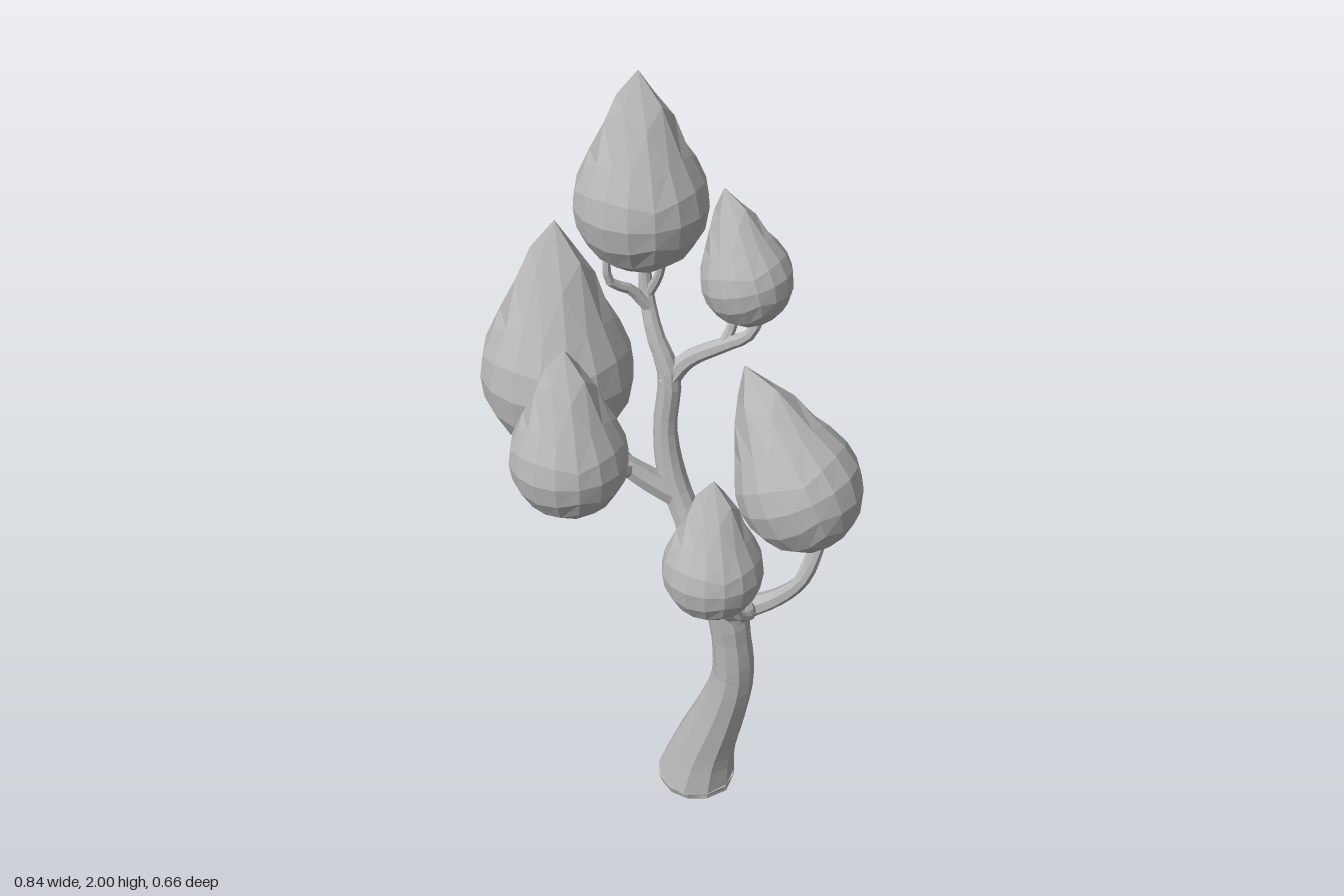
import * as THREE from 'three';

const grey = new THREE.MeshStandardMaterial({ color: 0xb8b8b8, flatShading: true });
grey.name = 'plain grey';

// Tapered limb through points given as [x, y, z, radius]
function limb(name, points, sides = 7, perSpan = 3) {
  const curve = new THREE.CatmullRomCurve3(points.map(p => new THREE.Vector3(p[0], p[1], p[2])));
  const spans = points.length - 1;
  const rings = spans * perSpan;
  const geo = new THREE.TubeGeometry(curve, rings, 1, sides);
  const pos = geo.attributes.position;
  const v = new THREE.Vector3();
  for (let i = 0; i <= rings; i++) {
    const u = i / rings;
    const centre = curve.getPointAt(u);
    const t = curve.getUtoTmapping(u) * spans;
    const k = Math.min(Math.floor(t), spans - 1);
    const radius = THREE.MathUtils.lerp(points[k][3], points[k + 1][3], t - k);
    for (let j = 0; j <= sides; j++) {
      const n = i * (sides + 1) + j;
      v.fromBufferAttribute(pos, n).sub(centre).multiplyScalar(radius).add(centre);
      pos.setXYZ(n, v.x, v.y, v.z);
    }
  }
  geo.computeVertexNormals();
  const mesh = new THREE.Mesh(geo, grey);
  mesh.name = name;
  return mesh;
}

// Faceted teardrop: a rounded cube grid drawn up to a point, standing from base to tip
function leafClump(name, base, tip, radius) {
  const geo = new THREE.BoxGeometry(2, 2, 2, 4, 4, 4);
  const pos = geo.attributes.position;
  const from = new THREE.Vector3(...base);
  const axis = new THREE.Vector3(...tip).sub(from);
  const height = axis.length();
  const even = c => Math.tan(c * Math.PI / 4);
  const v = new THREE.Vector3();
  for (let i = 0; i < pos.count; i++) {
    v.set(even(pos.getX(i)), even(pos.getY(i)), even(pos.getZ(i))).normalize();
    const rise = v.y > 0 ? 0.34 + 0.33 * v.y + 0.33 * v.y ** 6 : 0.34 + 0.34 * v.y;
    pos.setXYZ(i, v.x * radius, rise * height, v.z * radius);
  }
  geo.rotateY(0.72);
  geo.computeVertexNormals();
  const mesh = new THREE.Mesh(geo, grey);
  mesh.name = name;
  mesh.position.copy(from);
  mesh.quaternion.setFromUnitVectors(new THREE.Vector3(0, 1, 0), axis.normalize());
  return mesh;
}

export function createModel() {
  const tree = new THREE.Group();
  tree.name = 'tree';

  // Root foot, closed underneath
  const foot = new THREE.Mesh(new THREE.CylinderGeometry(0.104, 0.097, 0.022, 12), grey);
  foot.name = 'trunkFoot';
  foot.position.set(0.065, 0.011, -0.02);
  tree.add(foot);

  // Trunk
  tree.add(limb('trunk', [
    [0.065, 0.02, -0.02, 0.104], [0.08, 0.12, -0.006, 0.085], [0.115, 0.27, 0.025, 0.068],
    [0.138, 0.42, 0.053, 0.054], [0.13, 0.55, 0.056, 0.05], [0.115, 0.65, 0.045, 0.054],
    [0.078, 0.75, -0.005, 0.042], [0.052, 0.85, -0.06, 0.037], [0.02, 0.97, -0.1, 0.036],
    [0.008, 1.1, -0.115, 0.029], [0.018, 1.25, -0.115, 0.028], [-0.008, 1.35, -0.145, 0.021],
    [-0.018, 1.45, -0.18, 0.017], [-0.02, 1.58, -0.185, 0.012],
  ], 10));

  // Branches and twigs
  const branches = {
    rightLowBranch: [[0.11, 0.61, 0.05, 0.04], [0.155, 0.66, 0.085, 0.03], [0.22, 0.71, 0.125, 0.023],
      [0.275, 0.79, 0.165, 0.017], [0.315, 0.92, 0.18, 0.011]],
    rightLowTwig: [[0.265, 0.77, 0.155, 0.014], [0.295, 0.83, 0.14, 0.012], [0.325, 0.92, 0.12, 0.009]],
    frontLowBranch: [[0.12, 0.62, 0.06, 0.036], [0.14, 0.67, 0.11, 0.026], [0.11, 0.72, 0.165, 0.019],
      [0.065, 0.76, 0.205, 0.014], [0.045, 0.83, 0.225, 0.01]],
    frontLowTwig: [[0.15, 0.69, 0.12, 0.018], [0.13, 0.73, 0.19, 0.014], [0.09, 0.77, 0.23, 0.011],
      [0.07, 0.84, 0.235, 0.009]],
    leftBranch: [[0.035, 0.91, -0.085, 0.034], [-0.04, 0.965, -0.105, 0.031], [-0.12, 1.03, -0.125, 0.024],
      [-0.19, 1.07, -0.155, 0.016], [-0.25, 1.13, -0.18, 0.011]],
    leftBackTwig: [[-0.08, 1.0, -0.115, 0.022], [-0.12, 1.05, -0.17, 0.015], [-0.17, 1.08, -0.21, 0.012],
      [-0.2, 1.15, -0.21, 0.01]],
    leftUpTwig: [[-0.1, 1.01, -0.115, 0.02], [-0.14, 1.08, -0.115, 0.015], [-0.17, 1.16, -0.12, 0.01]],
    leftFrontBranch: [[-0.09, 1.0, -0.11, 0.023], [-0.16, 1.04, -0.05, 0.018], [-0.22, 1.065, 0.03, 0.014],
      [-0.27, 1.13, 0.1, 0.01]],
    leftFrontTwig: [[-0.2, 1.06, 0.0, 0.014], [-0.21, 1.085, 0.07, 0.011], [-0.235, 1.15, 0.11, 0.009]],
    rightHighBranch: [[0.01, 1.23, -0.115, 0.027], [0.06, 1.29, -0.105, 0.022], [0.14, 1.335, -0.075, 0.018],
      [0.19, 1.375, -0.04, 0.014], [0.22, 1.45, -0.03, 0.01]],
    rightHighTwig: [[0.135, 1.33, -0.075, 0.015], [0.16, 1.38, -0.08, 0.012], [0.175, 1.46, -0.07, 0.009]],
    topLeftTwig: [[-0.015, 1.41, -0.165, 0.016], [-0.06, 1.465, -0.165, 0.013], [-0.11, 1.5, -0.155, 0.011],
      [-0.115, 1.6, -0.155, 0.008]],
    topRightTwig: [[-0.015, 1.44, -0.175, 0.013], [0.005, 1.5, -0.15, 0.011], [0.015, 1.58, -0.13, 0.008]],
  };
  for (const [name, points] of Object.entries(branches)) tree.add(limb(name, points));

  // Foliage
  const clumps = [
    ['topLeafClump', [-0.032, 1.53, -0.155], [-0.035, 2.0, -0.163], 0.154],
    ['leftBackLeafClump', [-0.245, 1.09, -0.15], [-0.23, 1.67, -0.165], 0.18],
    ['leftFrontLeafClump', [-0.28, 1.09, 0.12], [-0.28, 1.51, 0.11], 0.135],
    ['frontLeafClump', [0.028, 0.79, 0.215], [0.032, 1.16, 0.2], 0.12],
    ['rightLowLeafClump', [0.325, 0.885, 0.165], [0.165, 1.32, 0.0], 0.152],
    ['rightHighLeafClump', [0.205, 1.41, -0.03], [0.14, 1.73, -0.095], 0.107],
  ];
  for (const c of clumps) tree.add(leafClump(...c));

  return tree;
}
